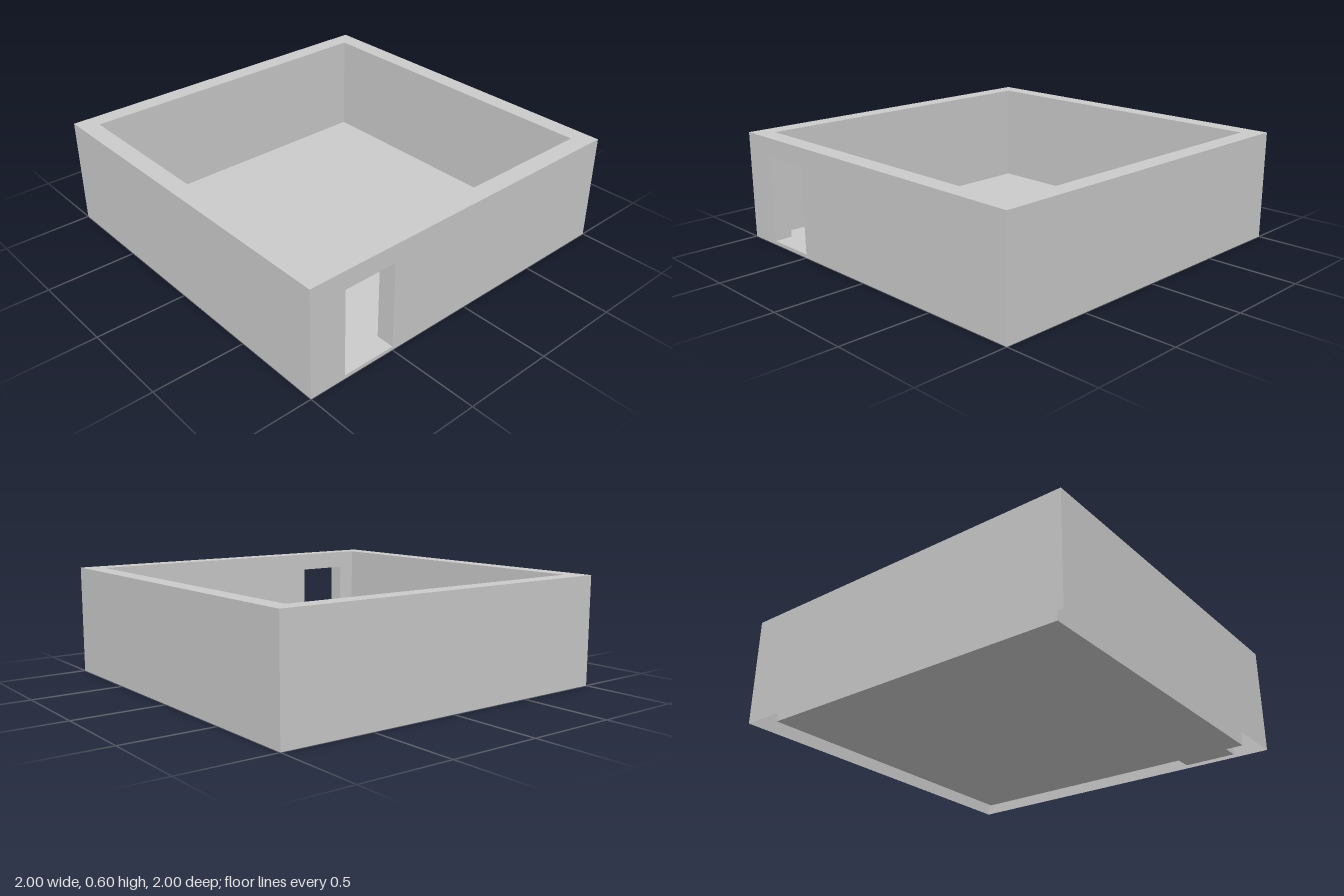
import * as THREE from 'three';

const OUT = 1, IN = 0.9, TOP = 0.6, FLOOR = 0.02;
const DOOR = { x0: -0.8, x1: -0.5, y1: 0.5 };

const material = new THREE.MeshStandardMaterial({
  color: 0xcccccc, side: THREE.DoubleSide, flatShading: true,
});

const polygon = (...pts) => new THREE.Shape(pts.map(([x, y]) => new THREE.Vector2(x, y)));
const rect = (x0, y0, x1, y1) => polygon([x0, y0], [x1, y0], [x1, y1], [x0, y1]);

export function createModel() {
  const model = new THREE.Group();
  model.name = 'walledRoom';

  const add = (name, geometry, parent = model) => {
    const mesh = new THREE.Mesh(geometry, material);
    mesh.name = name;
    parent.add(mesh);
  };

  // Outer skin: open at the bottom, doorway cut in the front with a low threshold
  const outer = new THREE.Group();
  outer.name = 'outerWalls';
  const front = rect(-OUT, 0, OUT, TOP);
  front.holes.push(rect(DOOR.x0, FLOOR, DOOR.x1, DOOR.y1));

  // Inner skin: starts at floor level and faces the room
  const inner = new THREE.Group();
  inner.name = 'innerWalls';
  const innerFront = polygon(
    [-IN, FLOOR], [DOOR.x0, FLOOR], [DOOR.x0, DOOR.y1], [DOOR.x1, DOOR.y1],
    [DOOR.x1, FLOOR], [IN, FLOOR], [IN, TOP], [-IN, TOP]);

  ['Front', 'Left', 'Back', 'Right'].forEach((side, i) => {
    const turn = i * Math.PI / 2;
    const outerShape = i === 0 ? front : rect(-OUT, 0, OUT, TOP);
    add('outer' + side, new THREE.ShapeGeometry(outerShape)
      .translate(0, 0, OUT).rotateY(turn), outer);

    // Mirrored in z so that the face looks into the room
    const innerGeo = new THREE.ShapeGeometry(i === 0 ? innerFront : rect(-IN, FLOOR, IN, TOP));
    innerGeo.translate(0, 0, IN).rotateY(turn);
    const index = innerGeo.index.array;
    for (let k = 0; k < index.length; k += 3) [index[k], index[k + 1]] = [index[k + 1], index[k]];
    innerGeo.computeVertexNormals();
    add('inner' + side, innerGeo, inner);
  });
  model.add(outer, inner);

  // Flat rim joining both skins
  const rim = rect(-OUT, -OUT, OUT, OUT);
  rim.holes.push(rect(-IN, -IN, IN, IN));
  add('wallTop', new THREE.ShapeGeometry(rim).rotateX(-Math.PI / 2).translate(0, TOP, 0));

  // Thin floor running out through the doorway (shape y becomes -z)
  const floor = polygon(
    [-IN, -IN], [DOOR.x0, -IN], [DOOR.x0, -OUT], [DOOR.x1, -OUT],
    [DOOR.x1, -IN], [IN, -IN], [IN, IN], [-IN, IN]);
  add('floor', new THREE.ShapeGeometry(floor).rotateX(-Math.PI / 2).translate(0, FLOOR, 0));

  // Doorway jambs and lintel
  const depth = OUT - IN, midZ = (OUT + IN) / 2;
  const height = DOOR.y1 - FLOOR, midY = (DOOR.y1 + FLOOR) / 2;
  for (const [name, x, turn] of [['doorJambRight', DOOR.x0, 1], ['doorJambLeft', DOOR.x1, -1]]) {
    add(name, new THREE.PlaneGeometry(depth, height)
      .rotateY(turn * Math.PI / 2).translate(x, midY, midZ));
  }
  add('doorLintel', new THREE.PlaneGeometry(DOOR.x1 - DOOR.x0, depth)
    .rotateX(Math.PI / 2).translate((DOOR.x0 + DOOR.x1) / 2, DOOR.y1, midZ));

  return model;
}
